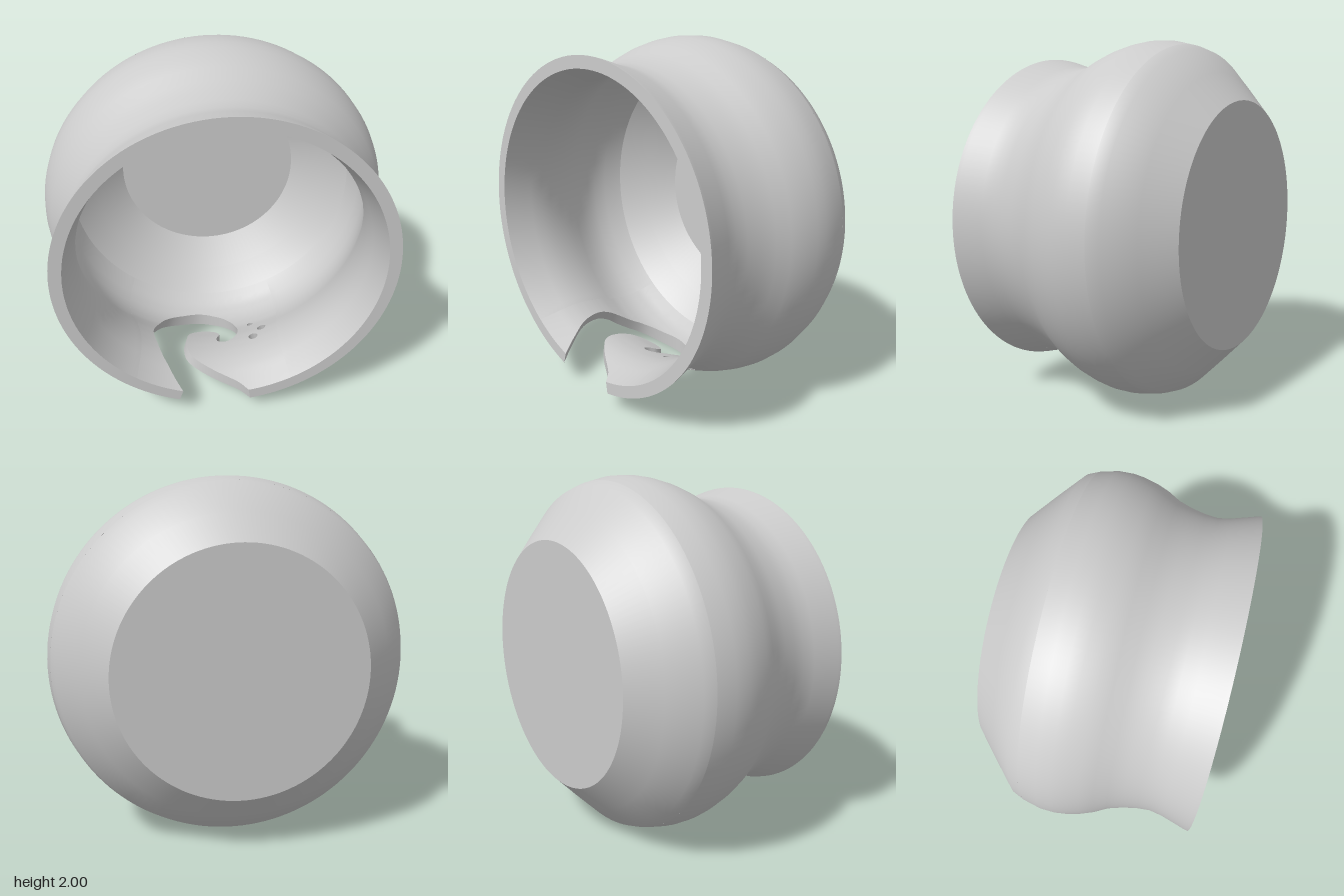
import * as THREE from 'three';
import { toCreasedNormals } from 'three/addons/utils/BufferGeometryUtils.js';

// Profiles as [radius, z] along the bowl's axis
const OUTER = [[0.975, -0.3], [0.998, -0.2], [1, -0.12], [0.992, -0.06], [0.972, 0.02], [0.945, 0.09], [0.907, 0.16],
  [0.882, 0.24], [0.866, 0.32], [0.86, 0.39], [0.872, 0.46], [0.914, 0.6], [0.918, 0.62]];
const INNER = [[0.86, -0.3], [0.905, -0.2], [0.92, -0.12], [0.918, -0.06], [0.9, 0.02], [0.87, 0.09], [0.84, 0.16],
  [0.815, 0.24], [0.8, 0.32], [0.797, 0.39], [0.806, 0.46], [0.85, 0.62]];
const RIM = 0.62, CUT = -0.3;          // rim plane and lower edge of the pierced panel
const U0 = -0.65, U1 = 0.45;           // angles bounding the pierced panel

const material = new THREE.MeshStandardMaterial({ color: 0xcccccc, side: THREE.DoubleSide });
const v2 = (x, y) => new THREE.Vector2(x, y);

// Radius of a profile at z
function radius(profile, z) {
  for (let i = 1; i < profile.length; i++) {
    const [r0, z0] = profile[i - 1], [r1, z1] = profile[i];
    if (z <= z1 || i === profile.length - 1) return r0 + (r1 - r0) * (z - z0) / (z1 - z0);
  }
}

// Wraps an unrolled point (angle, z) onto a profile
function wrap(profile, p) {
  const r = radius(profile, p.y);
  return [r * Math.sin(p.x), 1 - r * Math.cos(p.x), p.y];
}

function wrapNormal(profile, p) {
  const a = Math.max(CUT, p.y - 0.03), b = Math.min(RIM, p.y + 0.03);
  const slope = (radius(profile, b) - radius(profile, a)) / (b - a);
  return new THREE.Vector3(Math.sin(p.x), -Math.cos(p.x), -slope).normalize();
}

function turned(points, start, length, segments) {
  let g = new THREE.LatheGeometry(points.map(([r, z]) => v2(r, z)), segments, start, length);
  g.rotateX(Math.PI / 2);
  g.translate(0, 1, 0);
  return toCreasedNormals(g, 0.5);
}

// Splits long edges at their midpoints until every triangle is small
function subdivide(tri, limit, out) {
  let k = 0, longest = 0;
  for (let i = 0; i < 3; i++) {
    const d = tri[i].distanceTo(tri[(i + 1) % 3]);
    if (d > longest) { longest = d; k = i; }
  }
  if (longest <= limit) { out.push(...tri); return; }
  const a = tri[k], b = tri[(k + 1) % 3], c = tri[(k + 2) % 3];
  const m = a.clone().add(b).multiplyScalar(0.5);
  subdivide([a, m, c], limit, out);
  subdivide([m, b, c], limit, out);
}

// One skin of the panel
function skin(points, profile, flip) {
  const pos = [], nor = [];
  for (let i = 0; i < points.length; i += 3) {
    const t = flip ? [points[i], points[i + 2], points[i + 1]] : points.slice(i, i + 3);
    for (const p of t) {
      pos.push(...wrap(profile, p));
      nor.push(...wrapNormal(profile, p).multiplyScalar(flip ? -1 : 1).toArray());
    }
  }
  const g = new THREE.BufferGeometry();
  g.setAttribute('position', new THREE.Float32BufferAttribute(pos, 3));
  g.setAttribute('normal', new THREE.Float32BufferAttribute(nor, 3));
  return g;
}

// Cut face joining the two skins along a path
function cutWall(path) {
  const pos = [];
  for (let i = 1; i < path.length; i++) {
    const a = wrap(OUTER, path[i - 1]), b = wrap(OUTER, path[i]);
    const c = wrap(INNER, path[i]), d = wrap(INNER, path[i - 1]);
    pos.push(...a, ...b, ...c, ...a, ...c, ...d);
  }
  const g = new THREE.BufferGeometry();
  g.setAttribute('position', new THREE.Float32BufferAttribute(pos, 3));
  return toCreasedNormals(g, 0.6);
}

export function createModel() {
  const group = new THREE.Group();
  const add = (name, geometry) => {
    const mesh = new THREE.Mesh(geometry, material);
    mesh.name = name;
    group.add(mesh);
  };

  // Base with floor, all the way round
  add('base', turned([[0, -0.62], [0.675, -0.62], [0.82, -0.485], [0.95, -0.36], [0.975, CUT]], 0, Math.PI * 2, 128));
  add('floor', turned([[0.86, CUT], [0.73, -0.42], [0.55, -0.54], [0, -0.54]], 0, Math.PI * 2, 128));

  // Body, neck and flared rim, leaving out the pierced panel
  add('body', turned([...OUTER, ...INNER.slice().reverse()], U1, Math.PI * 2 - (U1 - U0), 108));

  // Curling yarn slot: round the tongue, into the spiral and back out to the rim
  const slot = [[0.13, 0.62], [0.06, 0.55], [-0.13, 0.44], [-0.22, 0.36], [-0.23, 0.24], [-0.19, 0.12], [-0.1, 0.065],
    [-0.02, 0.08], [0.005, 0.13], [-0.02, 0.18], [-0.01, 0.225], [0.05, 0.225], [0.11, 0.17], [0.13, 0.08],
    [0.1, -0.03], [0.02, -0.11], [-0.12, -0.14], [-0.3, -0.07], [-0.4, 0.07], [-0.46, 0.22], [-0.43, 0.38],
    [-0.35, 0.51], [-0.27, 0.62]].map(([x, z]) => v2(x / 0.88, z));
  const line = (a, b, n) => Array.from({ length: n }, (_, i) => v2(a + (b - a) * i / n, RIM));
  const edge = [
    ...line(U1, slot[0].x, 10),
    ...new THREE.SplineCurve(slot).getSpacedPoints(120),
    ...line(U0, slot[slot.length - 1].x, 10).reverse(),
  ];

  // Three small holes beside the slot
  const holes = [[0.23, 0.225, 0.032], [0.295, 0.14, 0.03], [0.22, 0.035, 0.02]].map(([x, z, r]) =>
    Array.from({ length: 20 }, (_, i) => {
      const a = i / 20 * Math.PI * 2;
      return v2((x + r * Math.cos(a)) / 0.9, z + r * Math.sin(a));
    }));

  // Pierced panel
  const contour = [v2(U0, CUT), v2(U1, CUT), ...edge];
  const all = [contour, ...holes.map((h) => h.slice().reverse())];
  const flat = all.flat();
  const tris = [];
  for (const f of THREE.ShapeUtils.triangulateShape(contour, all.slice(1))) {
    subdivide(f.map((i) => flat[i]), 0.05, tris);
  }
  add('panelOutside', skin(tris, OUTER, false));
  add('panelInside', skin(tris, INNER, true));
  add('slotEdge', cutWall(edge));
  holes.forEach((h) => add('holeEdge', cutWall([...h, h[0]])));
  return group;
}
